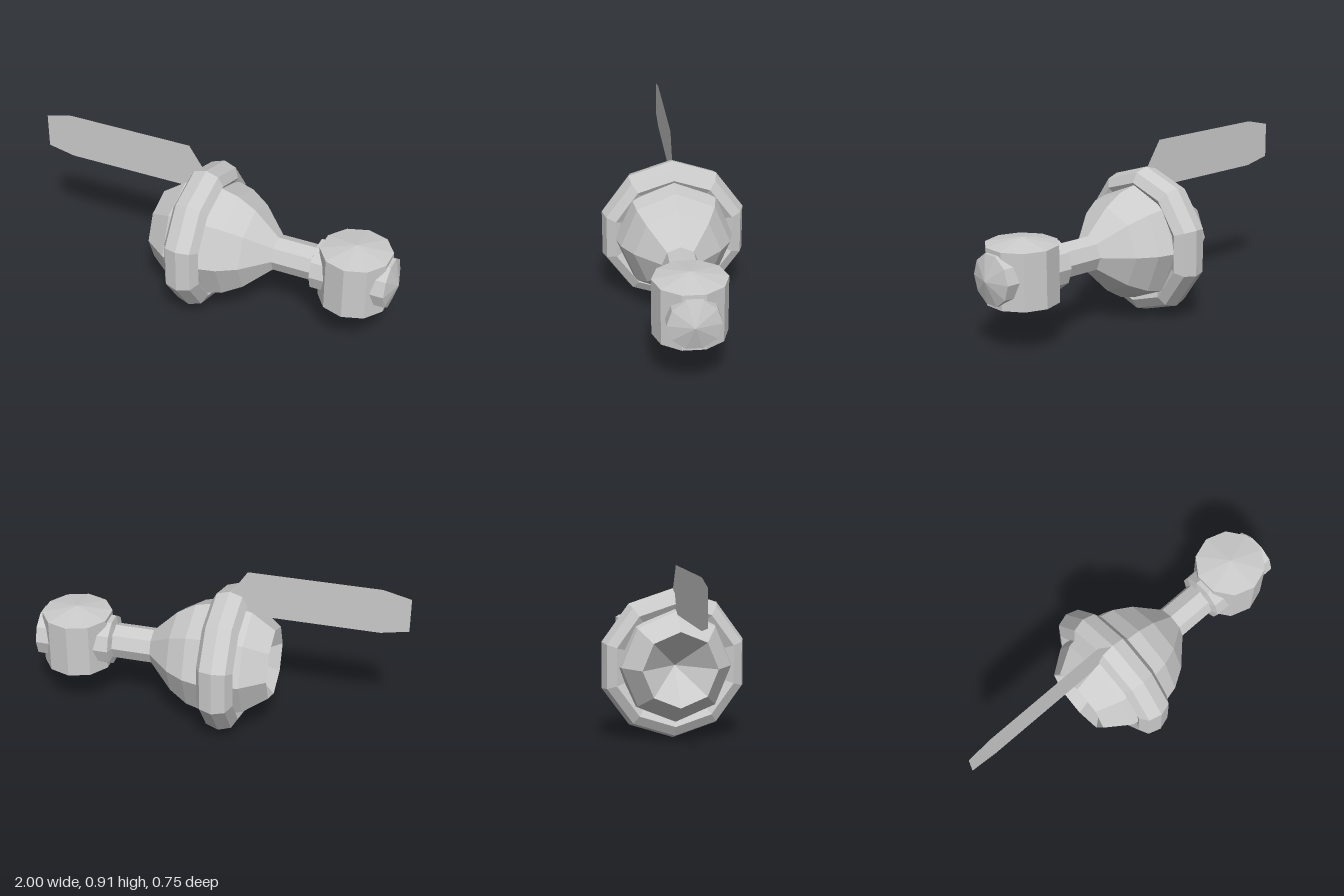
import * as THREE from 'three';

const AXIS_Y = 0.395;

export function createModel() {
  const model = new THREE.Group();
  const material = new THREE.MeshStandardMaterial({
    color: 0xcccccc, flatShading: true, side: THREE.DoubleSide,
  });

  function add(name, geometry, x = 0, y = AXIS_Y) {
    const mesh = new THREE.Mesh(geometry, material);
    mesh.name = name;
    mesh.position.set(x, y, 0);
    model.add(mesh);
    return mesh;
  }

  // Profile of [radius, position along the axis]
  function turned(profile, sides) {
    return new THREE.LatheGeometry(profile.map(([r, h]) => new THREE.Vector2(r, h)), sides);
  }

  // Cylinder with shallow cone caps at both ends
  function coneCapped(radius, halfLength, halfTip, sides) {
    return turned([[0, -halfTip], [radius, -halfLength], [radius, halfLength], [0, halfTip]], sides);
  }

  // Bulb with a conical recess in its open end, tapering into the neck
  const body = turned([
    [0, -0.13], [0.195, -0.315], [0.285, -0.19], [0.312, -0.07], [0.307, 0.02],
    [0.285, 0.11], [0.225, 0.21], [0.095, 0.34], [0.095, 0.62],
  ], 8);
  body.rotateZ(-Math.PI / 2);
  add('bodyAndNeck', body);

  // Ring around the bulb, wider along the axis than it is thick
  const ring = new THREE.TorusGeometry(0.32, 0.072, 8, 10);
  ring.rotateZ(Math.PI / 2);
  ring.rotateY(Math.PI / 2);
  ring.scale(1.33, 1, 1);
  add('ring', ring, -0.07);

  // Crossed barrels at the end of the neck
  add('uprightBarrel', coneCapped(0.187, 0.147, 0.18, 10), 0.766);
  const barrel = coneCapped(0.133, 0.2, 0.238, 10);
  barrel.rotateZ(-Math.PI / 2);
  add('endBarrel', barrel, 0.762);

  // Flat blade rising from the ring
  const outline = [
    [0, 0.665], [-0.165, 0.915], [-0.855, 0.915], [-1, 0.88], [-1, 0.695], [-0.855, 0.665],
  ].map(([x, y]) => new THREE.Vector2(x, y));
  add('blade', new THREE.ShapeGeometry(new THREE.Shape(outline)), 0, 0);

  return model;
}
